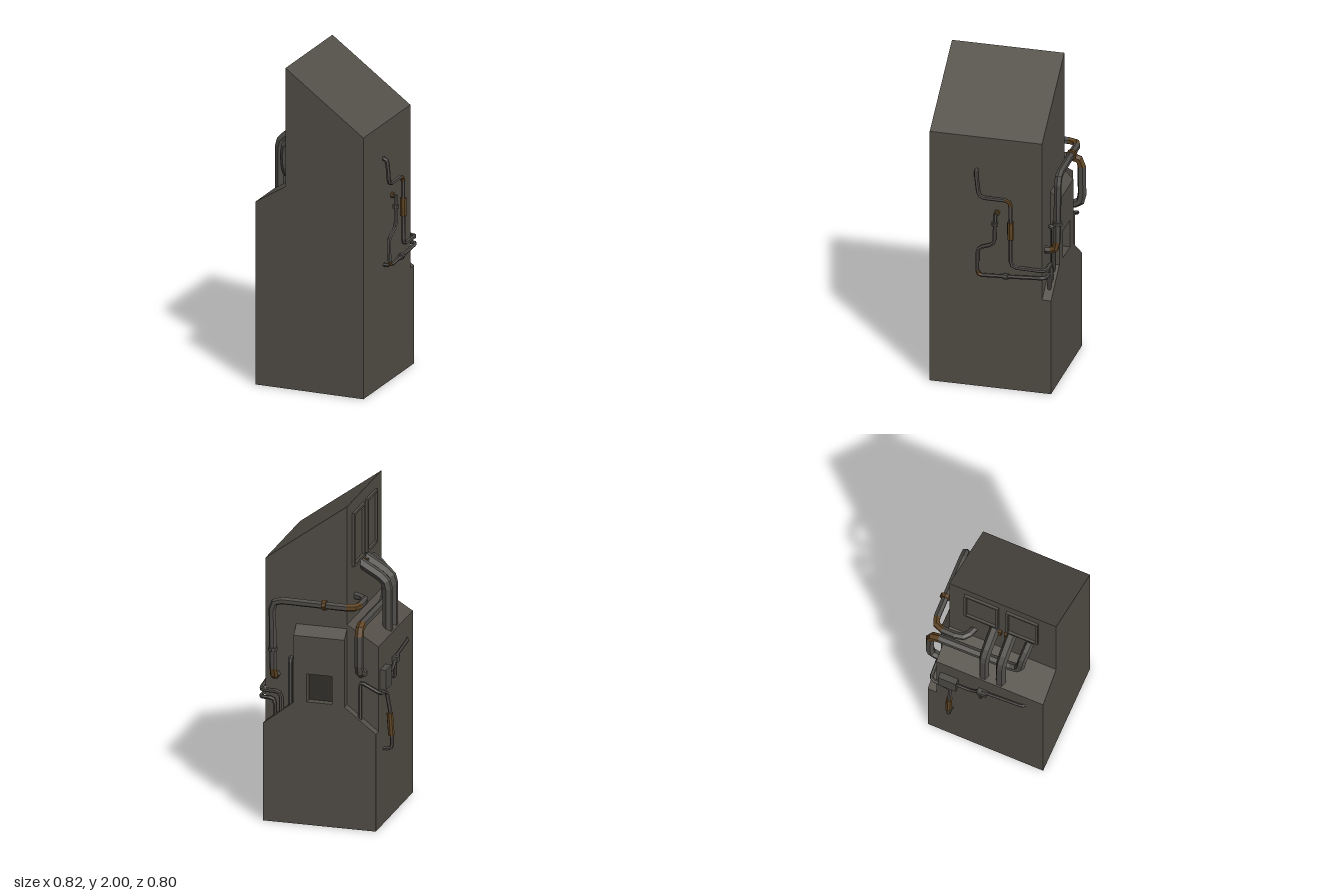
import * as THREE from 'three';

const mat = (name, color) => {
  const m = new THREE.MeshStandardMaterial({ color, flatShading: true });
  m.name = name;
  return m;
};
const V = (p) => new THREE.Vector3(...p);

// Curve through given points, one tube ring per point
class Polyline extends THREE.Curve {
  constructor(pts) { super(); this.pts = pts; }
  getPoint(t) {
    const n = this.pts.length - 1, i = Math.min(Math.floor(t * n + 1e-6), n - 1);
    return this.pts[i].clone().lerp(this.pts[i + 1], t * n - i);
  }
  getPointAt(t) { return this.getPoint(t); }
  getTangentAt(t) {
    const p = this.pts, n = p.length - 1, i = Math.round(t * n);
    const d = new THREE.Vector3();
    if (i > 0) d.add(p[i].clone().sub(p[i - 1]).normalize());
    if (i < n) d.add(p[i + 1].clone().sub(p[i]).normalize());
    return d.normalize();
  }
}

export function createModel() {
  const group = new THREE.Group();
  const casing = mat('casing', 0x534f48);
  const steel = mat('pipe steel', 0x4f4d49);
  const rust = mat('rust', 0x5e4423);
  const dark = mat('recess dark', 0x33312d);

  const add = (name, geo, material, pos = [0, 0, 0]) => {
    const m = new THREE.Mesh(geo, material);
    m.name = name;
    m.position.set(...pos);
    group.add(m);
    return m;
  };
  const outline = (pts) => new THREE.Shape(pts.map(([x, y]) => new THREE.Vector2(x, y)));
  const rect = (x0, y0, x1, y1) => outline([[x0, y0], [x1, y0], [x1, y1], [x0, y1]]);
  const extrude = (shape, depth) => new THREE.ExtrudeGeometry(shape, { depth, bevelEnabled: false });
  const box = (name, size, pos, material = steel) => add(name, new THREE.BoxGeometry(...size), material, pos);

  // Pipe with chamfered bends; rusty lists the corners that are rusted
  const pipe = (name, corners, r, bend, rusty = []) => {
    const c = corners.map(V), pts = [c[0]], bends = [];
    for (let i = 1; i < c.length - 1; i++) {
      const toA = c[i - 1].clone().sub(c[i]), toB = c[i + 1].clone().sub(c[i]);
      const a = c[i].clone().addScaledVector(toA.clone().normalize(), Math.min(bend, toA.length() * 0.45));
      const b = c[i].clone().addScaledVector(toB.clone().normalize(), Math.min(bend, toB.length() * 0.45));
      const mid = a.clone().add(b).multiplyScalar(0.25).addScaledVector(c[i], 0.5);
      if (rusty.includes(i)) bends.push(pts.length, pts.length + 1);
      pts.push(a, mid, b);
    }
    pts.push(c[c.length - 1]);
    const sides = 6, n = pts.length - 1;
    const geo = new THREE.TubeGeometry(new Polyline(pts), n, r, sides, false);
    for (let j = 0; j < n; j++) geo.addGroup(j * sides * 6, sides * 6, bends.includes(j) ? 1 : 0);
    return add(name, geo, [steel, rust]);
  };
  const sleeve = (name, from, to, r, material = steel) => {
    const a = V(from), b = V(to), d = b.clone().sub(a);
    const m = add(name, new THREE.CylinderGeometry(r, r, d.length(), 8), material);
    m.position.copy(a).add(b).multiplyScalar(0.5);
    m.quaternion.setFromUnitVectors(new THREE.Vector3(0, 1, 0), d.normalize());
  };

  // Main tower with slanted roof and lower shoulder
  add('tower', extrude(outline([
    [-0.345, 0], [0.355, 0], [0.355, 1.63], [-0.15, 2], [-0.15, 1.26], [-0.345, 1.14],
  ]), 0.69), casing, [0, 0, -0.29]);

  // Back panel with recess and sloped cap
  const back = outline([
    [-0.345, 0], [0.355, 0], [0.355, 0.61], [0.165, 0.76], [0.165, 1.18],
    [-0.15, 1.18], [-0.15, 0.76], [-0.345, 0.61],
  ]);
  back.holes.push(rect(-0.075, 0.77, 0.085, 0.945));
  add('backPanel', extrude(back, 0.055), casing, [0, 0, -0.345]);
  box('recessPlate', [0.16, 0.175, 0.006], [0.005, 0.8575, -0.293], dark);
  const cap = add('backPanelCap', extrude(outline([[0.29, 1.18], [0.345, 1.18], [0.29, 1.235]]), 0.315), casing);
  cap.rotation.y = Math.PI / 2;
  cap.position.x = -0.15;

  // Two frames on the upper side wall
  for (const [z0, z1] of [[-0.19, 0.03], [0.08, 0.285]]) {
    const frame = rect(-z1, 1.59, -z0, 1.925);
    frame.holes.push(rect(-z1 + 0.015, 1.605, -z0 - 0.015, 1.91));
    const m = add('wallFrame', extrude(frame, 0.016), casing);
    m.rotation.y = Math.PI / 2;
    m.position.x = -0.166;
  }

  // Twin thick pipes from wall into shoulder
  for (const z of [0.005, 0.113]) {
    pipe('shoulderPipe', [[-0.14, 1.555, z], [-0.31, 1.455, z], [-0.31, 1.12, z]], 0.032, 0.05);
  }
  box('wallFlange', [0.018, 0.05, 0.045], [-0.16, 1.53, 0.028], rust);
  box('wallFlange', [0.018, 0.05, 0.02], [-0.16, 1.53, 0.08], rust);

  // Pipe over the shoulder and down the back
  pipe('overShoulderPipe', [
    [-0.14, 1.52, 0.228], [-0.24, 1.46, 0.22], [-0.236, 1.26, 0.2],
    [-0.25, 1.28, -0.37], [-0.25, 0.98, -0.372], [-0.25, 0.97, -0.28],
  ], 0.027, 0.06, [3]);

  // Pipe wrapping around the back
  pipe('backWrapPipe', [
    [-0.14, 1.39, -0.125], [-0.232, 1.39, -0.16], [-0.228, 1.39, -0.36],
    [0.29, 1.4, -0.37], [0.285, 0.91, -0.362], [0.285, 0.91, -0.28],
  ], 0.023, 0.06, [2, 4]);
  sleeve('backWrapCoupling', [-0.046, 1.395, -0.366], [-0.022, 1.395, -0.366], 0.032, rust);
  sleeve('backDropCoupling', [0.287, 1.08, -0.366], [0.287, 1.1, -0.366], 0.03);

  // Junction box and thin pipes on the low side
  box('junctionBox', [0.04, 0.125, 0.115], [-0.363, 0.925, -0.205]);
  pipe('junctionPipe', [
    [-0.362, 0.93, -0.2], [-0.362, 0.93, -0.06], [-0.36, 0.985, 0.02], [-0.356, 1.005, 0.278], [-0.33, 1.005, 0.28],
  ], 0.01, 0.02);
  box('junctionCoupling', [0.032, 0.035, 0.06], [-0.361, 0.97, 0.013]);
  pipe('junctionStub', [[-0.36, 0.97, 0], [-0.36, 0.86, 0], [-0.33, 0.86, 0]], 0.01, 0.015);
  pipe('lowSidePipe', [
    [-0.24, 0.66, -0.318], [-0.24, 0.92, -0.318], [-0.365, 0.86, -0.318],
    [-0.365, 0.83, -0.19], [-0.395, 0.66, -0.19], [-0.398, 0.475, -0.19], [-0.33, 0.47, -0.19],
  ], 0.012, 0.025);
  sleeve('lowSideSleeve', [-0.384, 0.7, -0.19], [-0.394, 0.56, -0.19], 0.02, rust);

  // Thin pipes on the tall side, continuing round to the back
  pipe('tallSidePipe', [
    [0.34, 1.415, 0.11], [0.382, 1.415, 0.11], [0.385, 1.25, 0.09], [0.388, 1.25, -0.105],
    [0.39, 0.82, -0.108], [0.38, 0.81, -0.318], [0.25, 0.81, -0.318], [0.25, 0.66, -0.318],
  ], 0.013, 0.035, [3]);
  sleeve('tallSideSleeve', [0.389, 1.11, -0.106], [0.39, 1.0, -0.107], 0.021, rust);
  pipe('tallSideLowerPipe', [
    [0.385, 1.155, -0.01], [0.385, 0.955, -0.005], [0.388, 0.92, 0.098], [0.392, 0.745, 0.098],
    [0.39, 0.755, -0.1], [0.382, 0.765, -0.318], [0.29, 0.765, -0.318], [0.29, 0.64, -0.318],
  ], 0.012, 0.03, [3]);
  pipe('tallSideInlet', [[0.34, 1.145, -0.012], [0.392, 1.145, -0.012]], 0.012, 0.01);
  sleeve('tallSideCoupling', [0.385, 1.095, -0.008], [0.385, 1.075, -0.008], 0.02);
  sleeve('tallSideLowerCoupling', [0.39, 0.753, -0.065], [0.39, 0.755, -0.09], 0.02);
  pipe('tallSideFoot', [[0.34, 0.75, 0.1], [0.392, 0.75, 0.1]], 0.012, 0.01);
  sleeve('wallBolt', [0.35, 1.15, -0.015], [0.37, 1.15, -0.015], 0.018, rust);

  // Short riser beside the back panel
  pipe('backRiser', [
    [0.195, 0.7, -0.316], [0.195, 1.02, -0.316], [0.195, 1.02, -0.28],
  ], 0.013, 0.02);

  return group;
}
